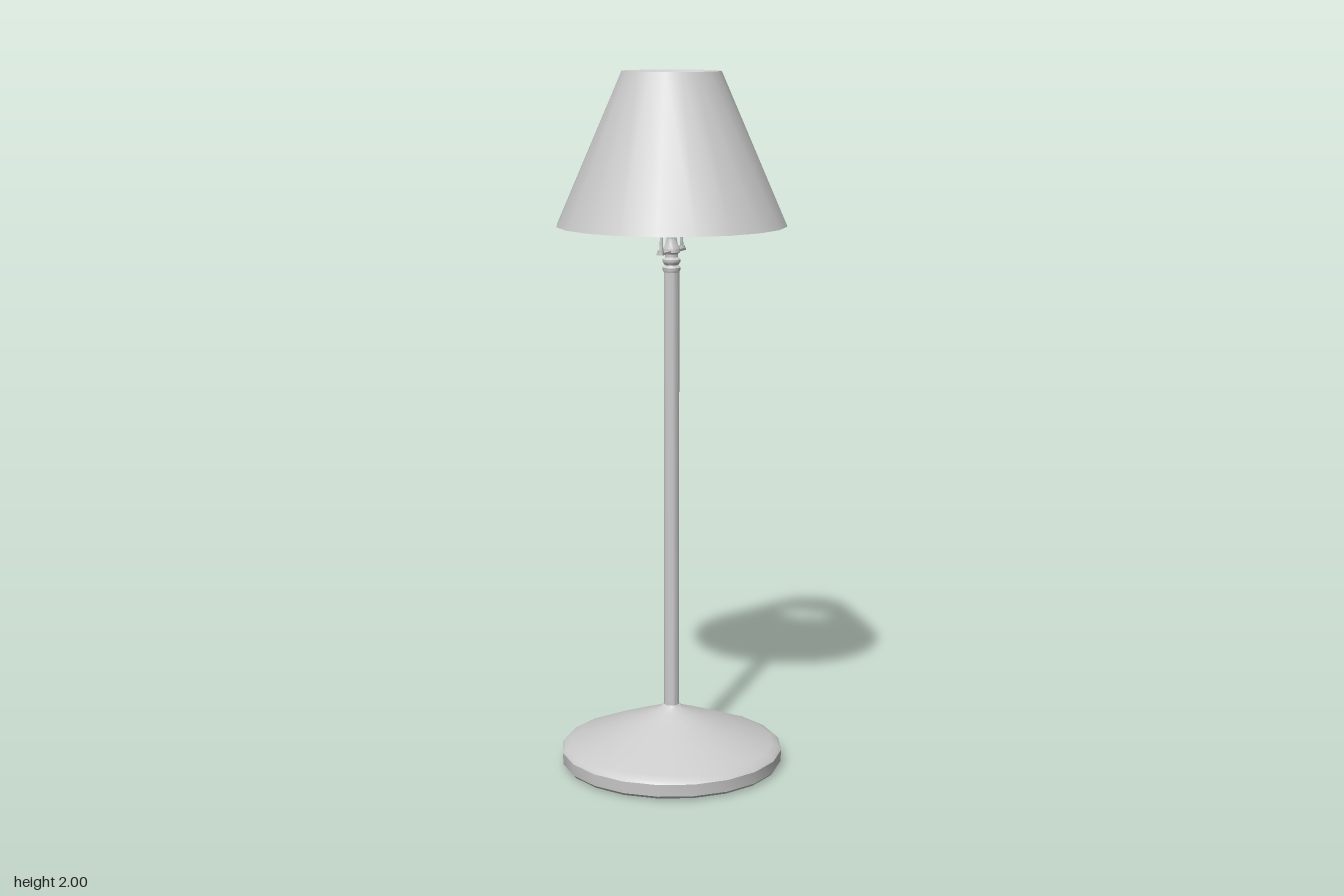
import * as THREE from 'three';
import { toCreasedNormals } from 'three/addons/utils/BufferGeometryUtils.js';

const PHASE = THREE.MathUtils.degToRad(5.6);

export function createModel() {
  const group = new THREE.Group();
  const solid = new THREE.MeshStandardMaterial({ color: 0xcccccc });
  const thin = new THREE.MeshStandardMaterial({ color: 0xcccccc, side: THREE.DoubleSide });

  const add = (name, geometry, material = solid, parent = group) => {
    const mesh = new THREE.Mesh(geometry, material);
    mesh.name = name;
    parent.add(mesh);
    return mesh;
  };
  // Turned part from [radius, height] pairs, listed bottom to top
  const turned = (profile, sides) => toCreasedNormals(
    new THREE.LatheGeometry(profile.map(([r, y]) => new THREE.Vector2(r, y)), sides, PHASE), 0.6);

  // Weighted foot with a shallow conical top
  add('base', turned([
    [0, 0.005], [0.313, 0.005], [0.32, 0.013], [0.322, 0.048], [0.314, 0.057], [0.295, 0.065],
    [0.15, 0.123], [0.05, 0.161], [0.032, 0.17], [0.024, 0.178], [0, 0.178],
  ], 20));
  add('basePad', new THREE.CylinderGeometry(0.07, 0.07, 0.006, 20).translate(0, 0.003, 0));

  // Tall pole
  add('pole', turned([[0.022, 0.165], [0.022, 1.45], [0, 1.45]], 20));

  // Ringed collar and lamp holder
  add('socket', turned([
    [0.02, 1.44], [0.025, 1.45], [0.025, 1.457], [0.019, 1.464], [0.025, 1.473],
    [0.025, 1.48], [0.018, 1.486], [0.018, 1.495], [0.024, 1.5], [0.024, 1.51],
    [0.018, 1.52], [0.014, 1.54], [0, 1.54],
  ], 20));

  // Pear-shaped bulb
  add('bulb', turned([
    [0.014, 1.53], [0.015, 1.56], [0.021, 1.59], [0.031, 1.615], [0.038, 1.635], [0.04, 1.65],
    [0.038, 1.665], [0.031, 1.678], [0.018, 1.688], [0, 1.692],
  ], 20));

  // Crossbar with two bent arms that carry the shade
  const carrier = new THREE.Group();
  carrier.name = 'shadeCarrier';
  carrier.rotation.y = 0.42;
  group.add(carrier);
  add('crossbar', new THREE.BoxGeometry(0.16, 0.007, 0.018).translate(0, 1.502, 0), solid, carrier);
  for (const side of [1, -1]) {
    const path = new THREE.CatmullRomCurve3([
      [0.072, 1.5], [0.068, 1.53], [0.07, 1.575], [0.095, 1.62],
      [0.145, 1.67], [0.188, 1.74], [0.212, 1.815],
    ].map(([r, y]) => new THREE.Vector3(side * r, y, 0)));
    add(side > 0 ? 'leftArm' : 'rightArm', new THREE.TubeGeometry(path, 24, 0.005, 8), solid, carrier);
    add('armNut', new THREE.CylinderGeometry(0.009, 0.009, 0.012, 10)
      .translate(side * 0.072, 1.506, 0), solid, carrier);
  }

  // Open conical shade with a narrow inward lip at the top
  add('shade', turned([[0.324, 1.575], [0.139, 2], [0.122, 1.992]], 20), thin);

  return group;
}
